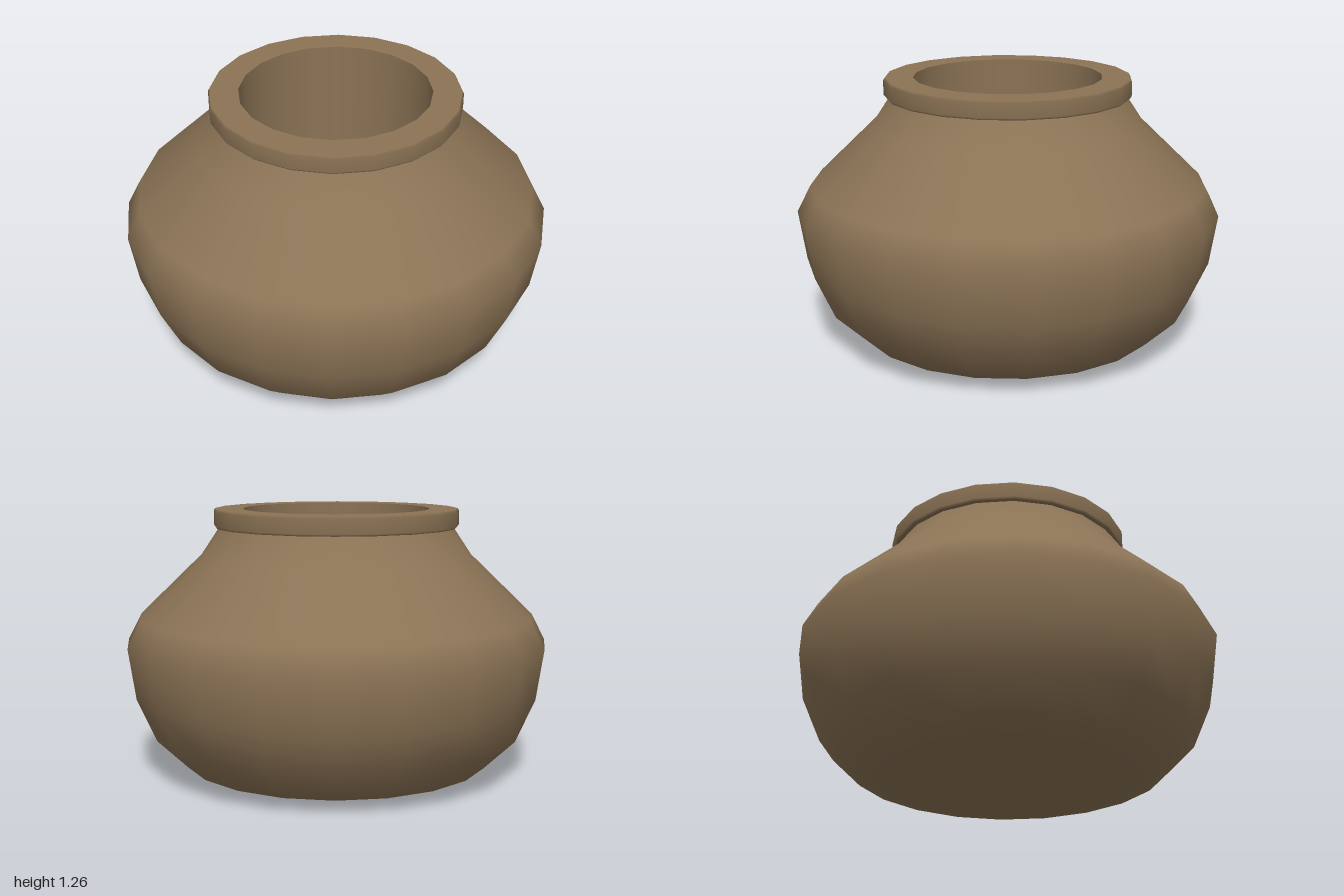
import * as THREE from 'three';

export function createModel() {
  const clay = new THREE.MeshStandardMaterial({ color: 0x8b7355 });
  clay.name = 'brown clay';
  const SIDES = 20;
  const pot = new THREE.Group();
  pot.name = 'pot';

  // Turns a profile of [radius, height] points; each part is smooth, edges between parts are sharp
  function turn(name, profile) {
    const points = profile.map(([r, y]) => new THREE.Vector2(r, y));
    const mesh = new THREE.Mesh(new THREE.LatheGeometry(points, SIDES), clay);
    mesh.name = name;
    pot.add(mesh);
  }

  // Rounded belly with closed base, shoulder and neck
  turn('body', [
    [0, 0], [0.56, 0], [0.73, 0.05], [0.875, 0.19], [0.965, 0.395],
    [1, 0.63], [0.935, 0.755], [0.64, 1.04], [0.55, 1.175],
  ]);

  // Collar around the mouth, with slightly softened edges
  turn('rimUnderside', [[0.54, 1.17], [0.572, 1.17]]);
  turn('rimSide', [[0.572, 1.17], [0.58, 1.18], [0.58, 1.247], [0.574, 1.257]]);
  turn('rimTop', [[0.574, 1.257], [0.442, 1.257]]);

  // Hollow inside
  turn('innerWall', [[0.442, 1.257], [0.442, 0.1]]);
  turn('innerFloor', [[0.442, 0.1], [0, 0.1]]);

  return pot;
}
